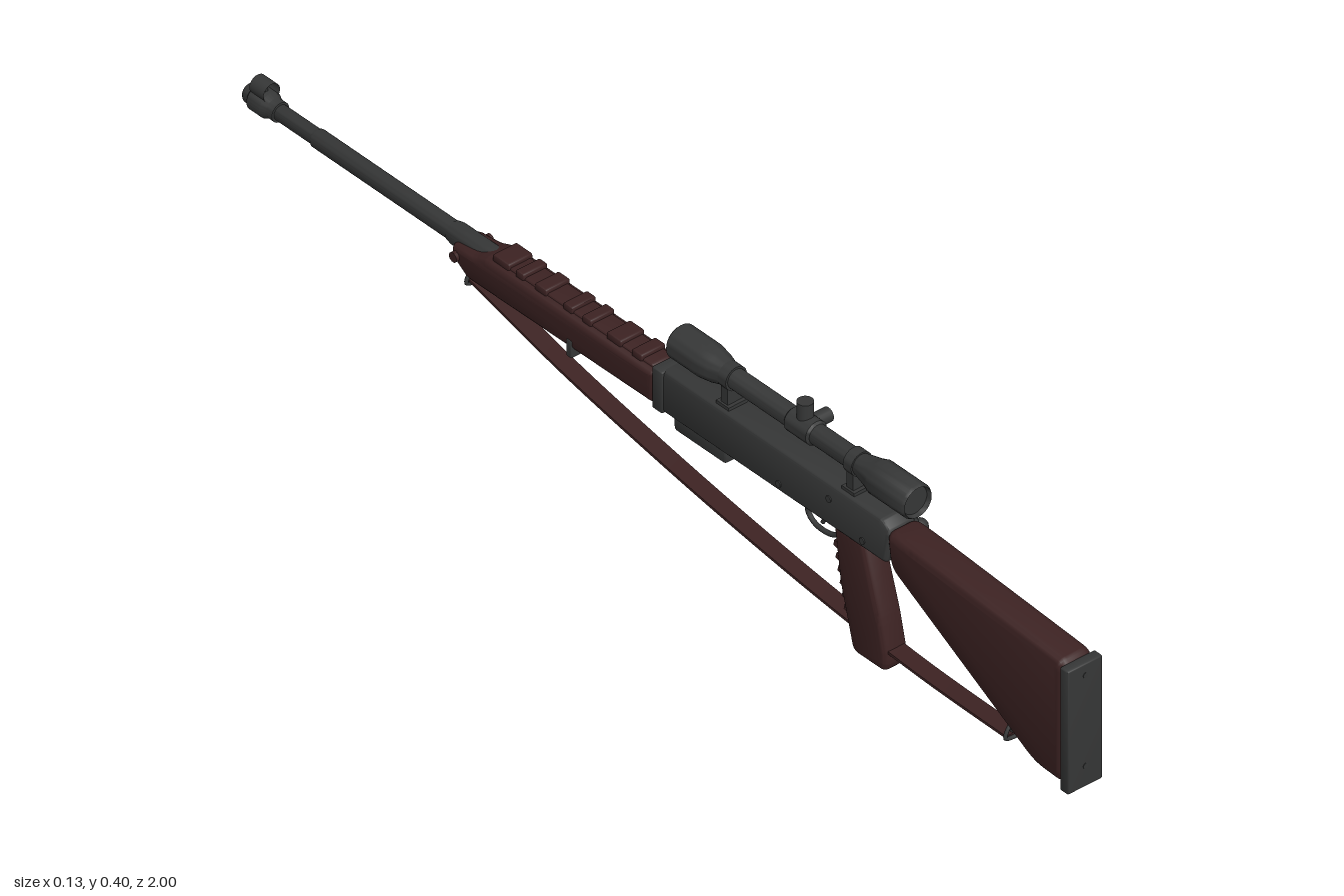
import * as THREE from 'three';
import { toCreasedNormals } from 'three/addons/utils/BufferGeometryUtils.js';

const CX = -0.03; // centre plane of the rifle

export function createModel() {
  const root = new THREE.Group();
  root.name = 'rifle';
  const steel = new THREE.MeshStandardMaterial({ color: 0x363737 });
  steel.name = 'dark steel';
  const wood = new THREE.MeshStandardMaterial({ color: 0x3c2222 });
  wood.name = 'dark red wood';
  const hoodSteel = new THREE.MeshStandardMaterial({ color: 0x363737, side: THREE.DoubleSide });
  hoodSteel.name = 'thin dark steel';

  const add = (name, geo, mat, x = 0, y = 0, z = 0) => {
    const m = new THREE.Mesh(geo, mat);
    m.name = name;
    m.position.set(x, y, z);
    root.add(m);
    return m;
  };
  const box = (name, mat, w, h, d, x, y, z) => add(name, new THREE.BoxGeometry(w, h, d), mat, x, y, z);

  // outline of [z, y] points with rounded corners
  const outline = (pts, r) => {
    const s = new THREE.Shape();
    const v = pts.map(p => new THREE.Vector2(...p));
    v.forEach((p, i) => {
      const a = v[(i + v.length - 1) % v.length], b = v[(i + 1) % v.length];
      const near = q => p.clone().add(q.clone().sub(p).setLength(Math.min(r, p.distanceTo(q) * 0.45)));
      const s0 = near(a), s1 = near(b);
      if (i) s.lineTo(s0.x, s0.y); else s.moveTo(s0.x, s0.y);
      s.quadraticCurveTo(p.x, p.y, s1.x, s1.y);
    });
    s.closePath();
    return s;
  };
  // side outline extruded across x, centred on the rifle
  const slab = (name, shape, width, bevel, mat, x = CX) => {
    let g = new THREE.ExtrudeGeometry(shape, {
      depth: width - 2 * bevel, bevelEnabled: bevel > 0, bevelThickness: bevel,
      bevelSize: bevel, bevelOffset: -bevel, bevelSegments: 4, curveSegments: 6,
    });
    g.translate(0, 0, -(width - 2 * bevel) / 2);
    g.rotateY(-Math.PI / 2);
    return add(name, toCreasedNormals(g, 0.6), mat, x);
  };
  // turned part along z from [radius, z] points in rising z
  const turned = (name, pts, y, mat = steel) => {
    const g = new THREE.LatheGeometry(pts.map(p => new THREE.Vector2(...p)), 28);
    g.rotateX(Math.PI / 2);
    return add(name, toCreasedNormals(g, 0.6), mat, CX, y);
  };
  const tube = (name, pts, r, mat = steel, closed = false) => {
    const c = new THREE.CatmullRomCurve3(pts.map(p => new THREE.Vector3(...p)), closed);
    return add(name, new THREE.TubeGeometry(c, 32, r, 8, closed), mat);
  };
  const pin = (name, r, len, x, y, z, mat = steel) => {
    const m = add(name, new THREE.CylinderGeometry(r, r, len, 20), mat, x, y, z);
    m.rotation.z = Math.PI / 2;
    return m;
  };

  // stock, butt plate and its screws
  slab('stock', outline([[0.985, 0.268], [0.985, 0.03], [0.91, 0.034], [0.565, 0.222], [0.555, 0.292], [0.62, 0.29]], 0.022), 0.066, 0.016, wood);
  slab('buttPlate', outline([[1, 0.262], [1, 0.024], [0.98, 0.024], [0.98, 0.262]], 0.004), 0.072, 0.003, steel);
  for (const y of [0.065, 0.24]) {
    const s = add('buttScrew', new THREE.CylinderGeometry(0.005, 0.005, 0.004, 12), steel, CX, y, 0.999);
    s.rotation.x = Math.PI / 2;
  }
  pin('stockDisc', 0.022, 0.008, 0.004, 0.195, 0.78);

  // receiver with flange, ejection port and magazine
  slab('receiver', outline([[0.565, 0.285], [0.545, 0.302], [0, 0.302], [0, 0.222], [0.555, 0.222]], 0.008), 0.058, 0.008, steel);
  slab('receiverFlange', outline([[0.025, 0.302], [0, 0.302], [0, 0.222], [0.025, 0.222]], 0.004), 0.066, 0.004, steel);
  slab('magazine', outline([[0.165, 0.23], [0.165, 0.196], [0.04, 0.196], [0.04, 0.23]], 0.008), 0.044, 0.005, steel);
  box('portCover', steel, 0.006, 0.028, 0.105, 0, 0.28, 0.185);
  box('portLip', steel, 0.012, 0.006, 0.12, 0.001, 0.265, 0.185);
  box('portTab', steel, 0.012, 0.012, 0.018, 0.002, 0.272, 0.24);
  for (const [y, z] of [[0.238, 0.5], [0.238, 0.3], [0.275, 0.42]]) pin('receiverPin', 0.006, 0.062, CX, y, z);

  // bolt handle
  tube('boltHandle', [[-0.01, 0.266, 0.495], [0.012, 0.262, 0.5], [0.03, 0.25, 0.505], [0.05, 0.22, 0.51]], 0.0055);
  add('boltKnob', new THREE.SphereGeometry(0.0145, 16, 12), steel, 0.051, 0.219, 0.51);
  pin('boltRoot', 0.012, 0.03, -0.008, 0.27, 0.495);

  // pistol grip with finger ridges
  slab('grip', outline([[0.495, 0.228], [0.535, 0.1], [0.55, 0.035], [0.548, 0.004], [0.468, 0.004], [0.437, 0.12], [0.422, 0.228]], 0.014), 0.048, 0.01, wood);
  for (let i = 0; i < 6; i++) {
    const t = i / 5;
    const b = box('gripRidge', wood, 0.038, 0.011, 0.016, CX, 0.185 - 0.11 * t, 0.428 + 0.025 * t);
    b.rotation.x = 0.25;
  }

  // trigger and guard
  tube('triggerGuard', [[CX, 0.226, 0.42], [CX, 0.19, 0.412], [CX, 0.177, 0.39], [CX, 0.177, 0.355], [CX, 0.19, 0.338], [CX, 0.226, 0.335]], 0.0045);
  tube('trigger', [[CX, 0.226, 0.385], [CX, 0.208, 0.382], [CX, 0.19, 0.372]], 0.004);

  // forend with ridged top cover
  slab('forend', outline([[0.002, 0.29], [-0.4, 0.29], [-0.43, 0.278], [-0.485, 0.272], [-0.478, 0.245], [-0.445, 0.223], [0.002, 0.226]], 0.01), 0.066, 0.014, wood);
  slab('topCover', outline([[-0.01, 0.293], [-0.385, 0.293], [-0.405, 0.27], [-0.01, 0.27]], 0.005), 0.044, 0.004, wood);
  for (const [z, d] of [[-0.045, 0.025], [-0.1, 0.035], [-0.165, 0.022], [-0.21, 0.022], [-0.275, 0.028], [-0.325, 0.02], [-0.37, 0.04]])
    slab('coverRidge', outline([[z + d / 2, 0.3], [z - d / 2, 0.3], [z - d / 2, 0.285], [z + d / 2, 0.285]], 0.004), 0.05, 0.003, wood);
  slab('forendBand', outline([[-0.19, 0.245], [-0.202, 0.245], [-0.202, 0.212], [-0.19, 0.212]], 0.002), 0.069, 0.002, steel);
  pin('forendPin', 0.009, 0.078, CX, 0.257, -0.468, wood);

  // barrel, sleeve and muzzle
  turned('barrel', [[0, -0.995], [0.011, -0.995], [0.014, -0.99], [0.014, -0.84], [0.0165, -0.835], [0.0165, -0.4], [0, -0.4]], 0.267);
  turned('barrelSleeve', [[0, -0.51], [0.018, -0.51], [0.02, -0.5], [0.02, -0.4], [0, -0.4]], 0.267);
  turned('muzzleCollar', [[0.008, -0.985], [0.008, -1], [0.015, -1], [0.018, -0.995], [0.018, -0.985], [0.023, -0.98], [0.023, -0.95], [0.018, -0.94], [0.018, -0.925], [0.01, -0.925]], 0.267);

  // front sight with open hood
  box('sightPost', steel, 0.005, 0.03, 0.014, CX, 0.29, -0.965);
  const hood = new THREE.CylinderGeometry(0.017, 0.017, 0.034, 20, 1, true, -2.2, 4.4);
  hood.rotateX(-Math.PI / 2);
  add('sightHood', hood, hoodSteel, CX, 0.293, -0.963);

  // telescopic sight with lenses, turrets and mounts
  const SY = 0.353;
  turned('scopeTube', [
    [0, 0.04], [0.026, 0.04], [0.028, 0.03], [0.031, 0.033], [0.031, 0.1], [0.027, 0.125], [0.018, 0.155],
    [0.018, 0.46], [0.026, 0.495], [0.029, 0.505], [0.031, 0.51], [0.031, 0.595], [0.028, 0.6], [0.025, 0.592], [0, 0.592],
  ], SY);
  turned('turretCollar', [[0.018, 0.3], [0.022, 0.304], [0.022, 0.356], [0.018, 0.36]], SY);
  add('topTurret', new THREE.CylinderGeometry(0.014, 0.014, 0.036, 20), steel, CX, 0.383, 0.33);
  pin('sideTurret', 0.013, 0.036, 0, SY, 0.33);
  for (const z of [0.155, 0.455]) {
    box('scopeMount', steel, 0.032, 0.048, 0.016, CX, 0.32, z);
    box('mountBase', steel, 0.04, 0.008, 0.03, CX, 0.304, z);
    turned('scopeRing', [[0.017, z - 0.01], [0.022, z - 0.01], [0.022, z + 0.01], [0.017, z + 0.01]], SY);
  }

  // sling strap and swivels
  const path = new THREE.SplineCurve([[0.83, 0.036], [0.62, 0.04], [0.41, 0.056], [0.19, 0.083], [-0.02, 0.116], [-0.24, 0.158], [-0.455, 0.212]]
    .map(p => new THREE.Vector2(...p))).getPoints(36);
  const strap = new THREE.Shape([...path, ...path.map(p => new THREE.Vector2(p.x, p.y - 0.005)).reverse()]);
  slab('sling', strap, 0.034, 0, wood);
  for (const [y, z] of [[0.044, 0.832], [0.214, -0.457]]) {
    const w = 0.02;
    tube('slingSwivel', [[CX - w, y - 0.01, z], [CX + w, y - 0.01, z], [CX + w * 0.4, y + 0.014, z], [CX - w * 0.4, y + 0.014, z]], 0.0035, steel, true);
    pin('swivelPin', 0.008, 0.018, CX, y + 0.006, z);
  }
  return root;
}
